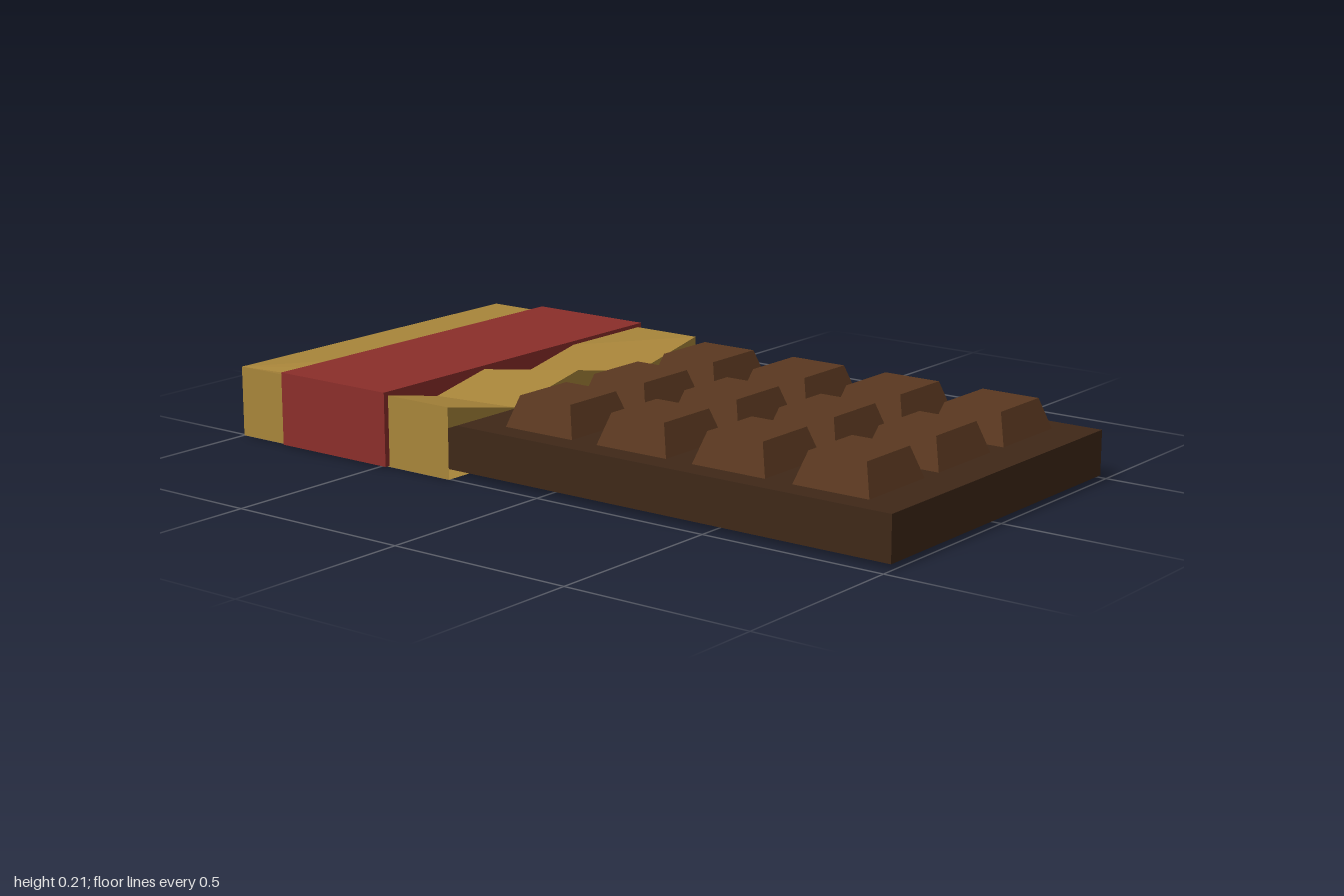
import * as THREE from 'three';

const material = (color, side = THREE.FrontSide) =>
  new THREE.MeshStandardMaterial({ color, side, flatShading: true });

// Box given by its bounds
function block(name, [x0, x1], [y0, y1], [z0, z1], mat) {
  const mesh = new THREE.Mesh(new THREE.BoxGeometry(x1 - x0, y1 - y0, z1 - z0), mat);
  mesh.position.set((x0 + x1) / 2, (y0 + y1) / 2, (z0 + z1) / 2);
  mesh.name = name;
  return mesh;
}

// Box whose top is narrower than its base
function taperedBox(baseX, baseZ, topX, topZ, height) {
  const geo = new THREE.BoxGeometry(baseX, height, baseZ);
  const pos = geo.attributes.position;
  for (let i = 0; i < pos.count; i++) {
    if (pos.getY(i) > 0) {
      pos.setX(i, pos.getX(i) * topX / baseX);
      pos.setZ(i, pos.getZ(i) * topZ / baseZ);
    }
  }
  return geo;
}

// Foil sleeve, open at the front, with a zigzag torn top edge
function foilGeometry() {
  const w = 0.505, back = -1, front = -0.28, top = 0.185, lip = 0.132;
  const edge = [top, 0.135, top, 0.135, top].map((y, i) => [-w + i * w / 2, y, front]);
  const verts = [];
  const fan = (...p) => {
    for (let i = 1; i < p.length - 1; i++) verts.push(...p[0], ...p[i], ...p[i + 1]);
  };
  // top sheet, fanned from one back corner
  fan([-w, top, back], ...edge, [w, top, back]);
  // lip below the torn edge
  for (let i = 0; i < edge.length - 1; i++) {
    const a = edge[i], b = edge[i + 1];
    fan([a[0], lip, front], [b[0], lip, front], b, a);
  }
  // bottom, back and sides
  fan([-w, 0, back], [w, 0, back], [w, 0, front], [-w, 0, front]);
  fan([w, 0, back], [-w, 0, back], [-w, top, back], [w, top, back]);
  fan([w, 0, front], [w, 0, back], [w, top, back], [w, top, front]);
  fan([-w, 0, back], [-w, 0, front], [-w, top, front], [-w, top, back]);
  const geo = new THREE.BufferGeometry();
  geo.setAttribute('position', new THREE.Float32BufferAttribute(verts, 3));
  geo.computeVertexNormals();
  return geo;
}

export function createModel() {
  const model = new THREE.Group();
  model.name = 'chocolateBar';

  // Chocolate slab
  model.add(block('slab', [-0.47, 0.47], [0.015, 0.131], [-0.95, 1], material(0x3f2818)));

  // Raised chocolate pieces, 3 by 4
  const pieces = new THREE.Group();
  pieces.name = 'pieces';
  const pieceGeo = taperedBox(0.23, 0.212, 0.178, 0.16, 0.08);
  const pieceMat = material(0x5a3820);
  for (let row = 0; row < 4; row++) {
    for (let col = -1; col <= 1; col++) {
      const piece = new THREE.Mesh(pieceGeo, pieceMat);
      piece.name = 'piece';
      piece.position.set(col * 0.29, 0.17, -0.073 + row * 0.288);
      pieces.add(piece);
    }
  }
  model.add(pieces);

  // Foil wrapper
  const foil = new THREE.Mesh(foilGeometry(), material(0xa8853a, THREE.DoubleSide));
  foil.name = 'foil';
  model.add(foil);

  // Paper band around the foil
  model.add(block('paperBand', [-0.52, 0.52], [0.003, 0.195], [-0.84, -0.48], material(0x8b2e2a)));

  return model;
}
